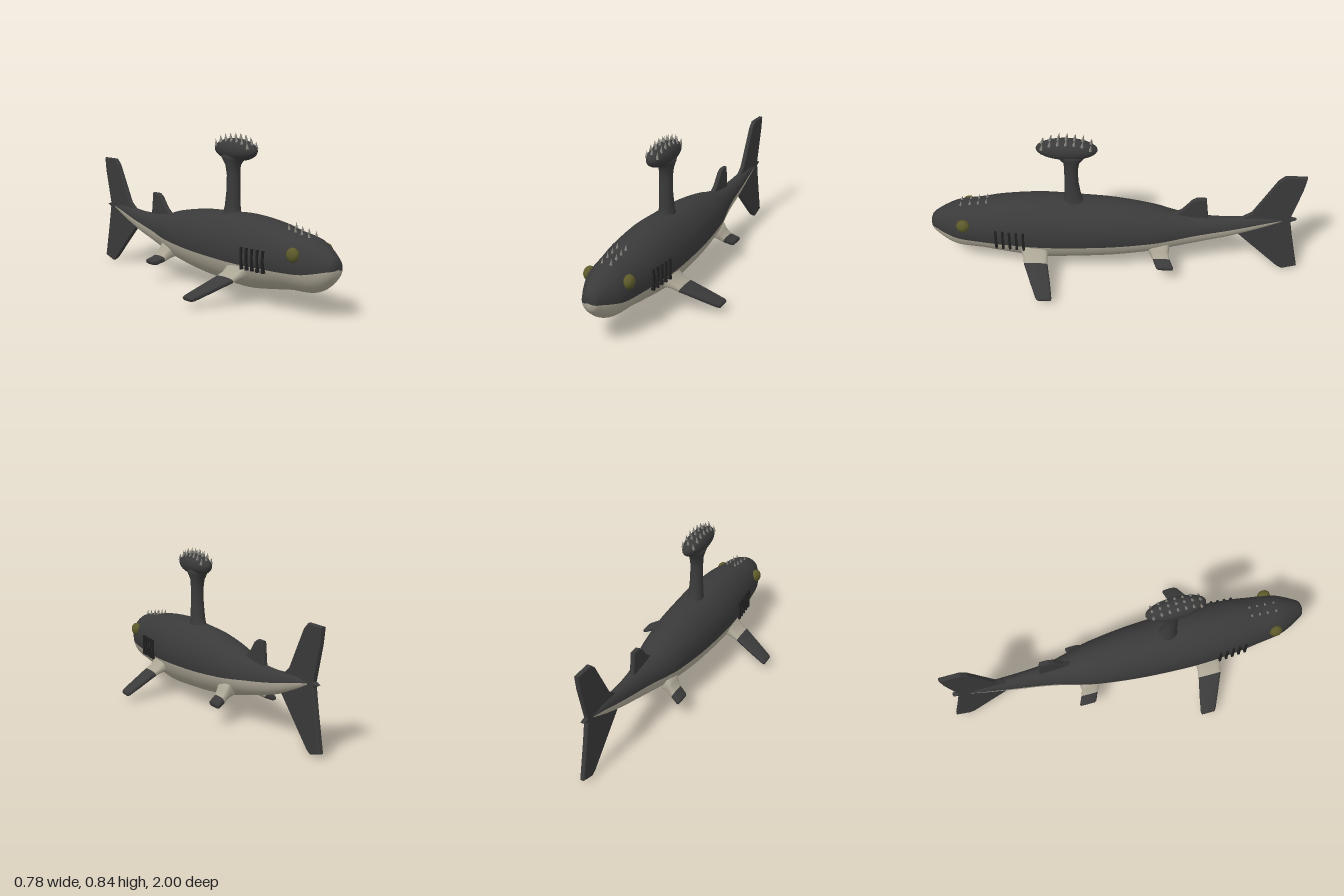
import * as THREE from 'three';

const mat = (name, color) => Object.assign(new THREE.MeshStandardMaterial({ color }), { name });

// Skin through closed rings of points, capped at both ends; isSecond picks the second material
function loft(rings, isSecond) {
  const n = rings[0].length, pos = [], lists = [[], []];
  rings.forEach(r => r.forEach(p => pos.push(p.x, p.y, p.z)));
  for (let i = 0; i < rings.length - 1; i++) {
    for (let j = 0; j < n; j++) {
      const k = (j + 1) % n, a = i * n + j, b = i * n + k, c = a + n, d = b + n;
      lists[isSecond(i, j) ? 1 : 0].push(a, b, c, b, d, c);
    }
  }
  [0, rings.length - 1].forEach(i => {
    const c = rings[i].reduce((s, p) => s.add(p), new THREE.Vector3()).divideScalar(n);
    const ci = pos.length / 3;
    pos.push(c.x, c.y, c.z);
    for (let j = 0; j < n; j++) {
      const a = i * n + j, b = i * n + (j + 1) % n;
      lists[isSecond(Math.max(0, i - 1), j) ? 1 : 0].push(ci, ...(i ? [a, b] : [b, a]));
    }
  });
  const g = new THREE.BufferGeometry();
  g.setAttribute('position', new THREE.Float32BufferAttribute(pos, 3));
  g.setIndex([...lists[0], ...lists[1]]);
  g.addGroup(0, lists[0].length, 0);
  g.addGroup(lists[0].length, lists[1].length, 1);
  g.computeVertexNormals();
  return g;
}

// Body stations: z, top, bottom, half width, height of the belly line
const BODY = [
  [-0.89, 0.346, 0.328, 0.014, 0.338], [-0.8, 0.354, 0.288, 0.025, 0.323],
  [-0.7, 0.348, 0.25, 0.034, 0.3], [-0.6, 0.34, 0.217, 0.043, 0.28],
  [-0.5, 0.34, 0.19, 0.053, 0.263], [-0.4, 0.346, 0.165, 0.07, 0.25],
  [-0.3, 0.365, 0.143, 0.095, 0.238], [-0.2, 0.39, 0.12, 0.118, 0.23],
  [0, 0.42, 0.09, 0.142, 0.217], [0.2, 0.43, 0.074, 0.154, 0.21],
  [0.4, 0.438, 0.064, 0.156, 0.205], [0.6, 0.42, 0.088, 0.143, 0.205],
  [0.72, 0.397, 0.105, 0.128, 0.205], [0.84, 0.38, 0.112, 0.11, 0.21],
  [0.91, 0.352, 0.135, 0.084, 0.222], [0.965, 0.318, 0.175, 0.055, 0.235],
  [0.99, 0.295, 0.202, 0.04, 0.24], [1, 0.27, 0.228, 0.02, 0.243],
];
const curve = cols => new THREE.CatmullRomCurve3(
  BODY.map(s => new THREE.Vector3(...cols.map(c => s[c]))), false, 'catmullrom', 0.5);
const heights = curve([0, 1, 2]), widths = curve([3, 4, 0]);

function bodyGeometry() {
  const n = 48, half = n / 2, steps = 85, rings = [];
  for (let i = 0; i <= steps; i++) {
    const { x: z, y: top, z: bot } = heights.getPoint(i / steps);
    const { x: w, y: line } = widths.getPoint(i / steps);
    const cy = (top + bot) / 2, h = (top - bot) / 2;
    const a = Math.asin(THREE.MathUtils.clamp((line - cy) / h, -0.95, 0.95));
    rings.push(Array.from({ length: n }, (_, j) => {
      const t = j < half ? a + (Math.PI - 2 * a) * j / half
        : Math.PI - a + (Math.PI + 2 * a) * (j - half) / half;
      return new THREE.Vector3(w * Math.cos(t), cy + h * Math.sin(t), z);
    }));
  }
  return loft(rings, (i, j) => j >= half);
}

// Side fin stations: x, y, z, half chord, half thickness; dark from station "from"
function sideFin(stations, from) {
  const rings = stations.map(([x, y, z, chord, thick]) =>
    Array.from({ length: 20 }, (_, j) => {
      const t = j / 20 * Math.PI * 2, c = Math.cos(t), s = Math.sin(t);
      const u = Math.sign(c) * Math.sqrt(Math.abs(c)) * thick;
      const v = Math.sign(s) * Math.pow(Math.abs(s), 0.8) * chord;
      return new THREE.Vector3(x + 0.42 * u, y + 0.9 * u, z + v);
    }));
  return loft(rings, i => i < from);
}

// Upright fin cut from a (z, y) outline
function uprightFin(points, thick) {
  const b = 0.006;
  const g = new THREE.ExtrudeGeometry(new THREE.Shape(points.map(p => new THREE.Vector2(...p))), {
    depth: thick - 2 * b, bevelEnabled: true, bevelSize: b, bevelThickness: b, bevelOffset: -b, bevelSegments: 2,
  });
  return g.translate(0, 0, b - thick / 2).rotateY(-Math.PI / 2);
}

export function createModel() {
  const model = new THREE.Group();
  const dark = mat('charcoal skin', 0x3a3a3a), pale = mat('pale belly', 0xaca695);
  const olive = mat('olive eye', 0x5c5a2a), black = mat('black gill', 0x202020);
  const bone = mat('grey spike', 0x85837c);
  const add = (name, geometry, material, parent = model) => {
    const m = new THREE.Mesh(geometry, material);
    m.name = name;
    parent.add(m);
    return m;
  };

  add('body', bodyGeometry(), [dark, pale]);

  // Tail and back fins
  add('tailFin', uprightFin([[-0.66, 0.33], [-0.73, 0.38], [-0.85, 0.59], [-0.885, 0.622], [-0.998, 0.622],
    [-0.985, 0.54], [-0.935, 0.355], [-0.968, 0.345], [-0.937, 0.33], [-0.955, 0.23], [-0.998, 0.027],
    [-0.92, 0.004], [-0.89, 0.02], [-0.66, 0.24]], 0.025), dark);
  add('backFin', uprightFin([[-0.3, 0.34], [-0.36, 0.385], [-0.41, 0.445], [-0.435, 0.46], [-0.485, 0.46],
    [-0.5, 0.33]], 0.026), dark);

  // Stalk and pod on the back; stations: y, z, half width, half depth
  const stalk = [[0.4, 0.22, 0.05, 0.065], [0.43, 0.222, 0.042, 0.052], [0.46, 0.225, 0.039, 0.044],
    [0.54, 0.23, 0.035, 0.037], [0.62, 0.231, 0.034, 0.036], [0.67, 0.227, 0.038, 0.042],
    [0.7, 0.228, 0.045, 0.07], [0.73, 0.235, 0.05, 0.1]];
  add('stalk', loft(stalk.map(([y, z, w, d]) => Array.from({ length: 24 }, (_, j) => {
    const t = j / 24 * Math.PI * 2;
    return new THREE.Vector3(w * Math.sin(t), y, z + d * Math.cos(t));
  })), () => false), [dark, dark]);
  const pod = add('pod', new THREE.SphereGeometry(1, 32, 20), dark);
  pod.scale.set(0.056, 0.058, 0.16);
  pod.position.set(0, 0.752, 0.25);

  // Spikes on the pod and brow
  const spikeGeometry = new THREE.ConeGeometry(0.009, 0.038, 8).translate(0, 0.012, 0);
  const spikes = new THREE.Group();
  spikes.name = 'spikes';
  model.add(spikes);
  const spike = (name, x, y, z) => {
    const s = add(name, spikeGeometry, bone, spikes);
    s.position.set(x, y, z);
    s.rotation.x = -0.15;
  };
  for (const x of [-0.03, 0, 0.03]) {
    for (let i = 0; i < 7; i++) {
      const z = 0.125 + i * 0.042;
      const k = 1 - (x / 0.056) ** 2 - ((z - 0.25) / 0.16) ** 2;
      spike('podSpike', x, 0.752 + 0.058 * Math.sqrt(Math.max(0, k)), z);
    }
  }
  for (const x of [-0.024, 0.024]) {
    [[0.69, 0.398], [0.735, 0.389], [0.78, 0.384], [0.83, 0.375]].forEach(([z, y]) => spike('browSpike', x, y, z));
  }

  // Paired parts, mirrored across the middle
  const pectoral = sideFin([[0.1, 0.185, 0.425, 0.085, 0.05], [0.14, 0.16, 0.425, 0.072, 0.032],
    [0.165, 0.147, 0.42, 0.065, 0.02], [0.2, 0.131, 0.415, 0.064, 0.016], [0.3, 0.084, 0.382, 0.053, 0.015],
    [0.375, 0.049, 0.358, 0.043, 0.014], [0.386, 0.043, 0.355, 0.037, 0.009]], 3);
  const pelvic = sideFin([[0.07, 0.18, -0.235, 0.065, 0.045], [0.1, 0.152, -0.243, 0.05, 0.027],
    [0.125, 0.127, -0.257, 0.046, 0.019], [0.166, 0.107, -0.276, 0.047, 0.016],
    [0.173, 0.103, -0.279, 0.04, 0.01]], 2);
  const gill = new THREE.BoxGeometry(0.022, 0.11, 0.012);
  for (const [side, sign] of [['left', 1], ['right', -1]]) {
    const half = new THREE.Group();
    half.name = side + 'Side';
    half.scale.x = sign;
    model.add(half);
    add(side + 'PectoralFin', pectoral, [dark, pale], half);
    add(side + 'PelvicFin', pelvic, [dark, pale], half);
    const eye = add(side + 'Eye', new THREE.SphereGeometry(1, 20, 14), olive, half);
    eye.scale.set(0.028, 0.036, 0.036);
    eye.position.set(0.108, 0.3, 0.81);
    for (let i = 0; i < 5; i++) {
      add(side + 'Gill', gill, black, half).position.set(0.148 - i * 0.003, 0.242, 0.483 + i * 0.037);
    }
  }
  return model;
}
